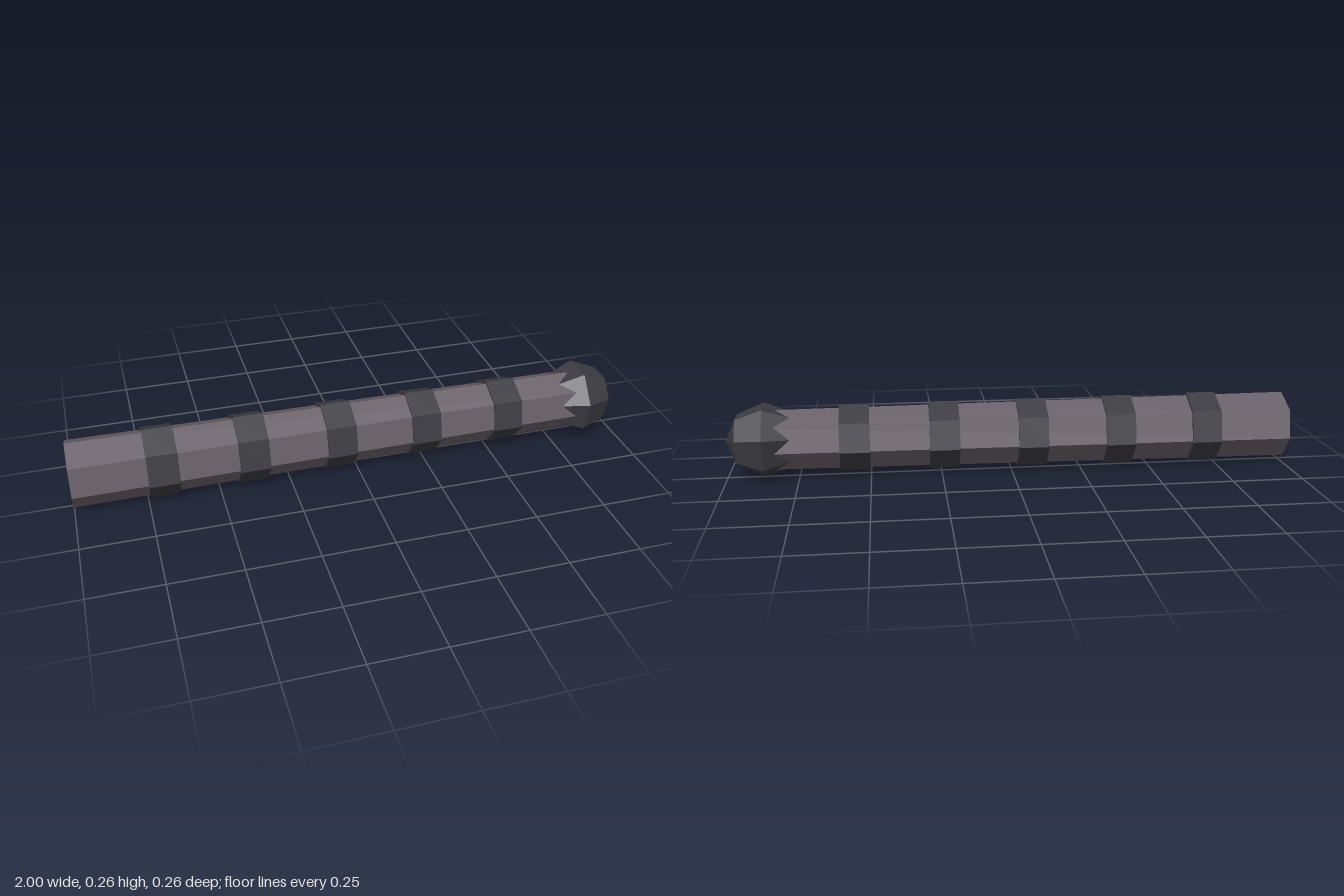
import * as THREE from 'three';
import { toCreasedNormals } from 'three/addons/utils/BufferGeometryUtils.js';

const SIDES = 7;
const AXIS_Y = 0.134;
const SHAFT_START = -1, SHAFT_END = 0.865;
const R_START = 0.119, R_END = 0.106;

const shaftMaterial = new THREE.MeshStandardMaterial({ color: 0x675f67 });
const darkMaterial = new THREE.MeshStandardMaterial({ color: 0x3b3b41 });
shaftMaterial.name = 'greyPurpleShaft';
darkMaterial.name = 'darkGrey';

// Lays an upright geometry along +x and keeps its facets crisp
function addPart(group, name, geometry, material, x) {
  geometry.rotateZ(-Math.PI / 2);
  const mesh = new THREE.Mesh(toCreasedNormals(geometry, 0.6), material);
  mesh.name = name;
  mesh.position.set(x, AXIS_Y, 0);
  group.add(mesh);
}

// Seven-sided prism with one corner pointing up once laid along x
function prism(rEnd, rStart, length) {
  return new THREE.CylinderGeometry(rEnd, rStart, length, SIDES, 1, false, -Math.PI / 2);
}

export function createModel() {
  const group = new THREE.Group();
  group.name = 'bandedRod';

  // Tapered shaft
  const length = SHAFT_END - SHAFT_START;
  addPart(group, 'shaft', prism(R_END, R_START, length), shaftMaterial, (SHAFT_START + SHAFT_END) / 2);

  // Five grip bands that shrink with the shaft
  for (let i = 0; i < 5; i++) {
    const x = -0.693 + i * 0.3115;
    const radius = 1.08 * THREE.MathUtils.lerp(R_START, R_END, (x - SHAFT_START) / length);
    addPart(group, `band${i + 1}`, prism(radius, radius, 0.105), darkMaterial, x);
  }

  // Faceted end knob with one corner pointing down
  addPart(group, 'knob', new THREE.SphereGeometry(0.134, SIDES, 4, Math.PI), darkMaterial, SHAFT_END);

  return group;
}
